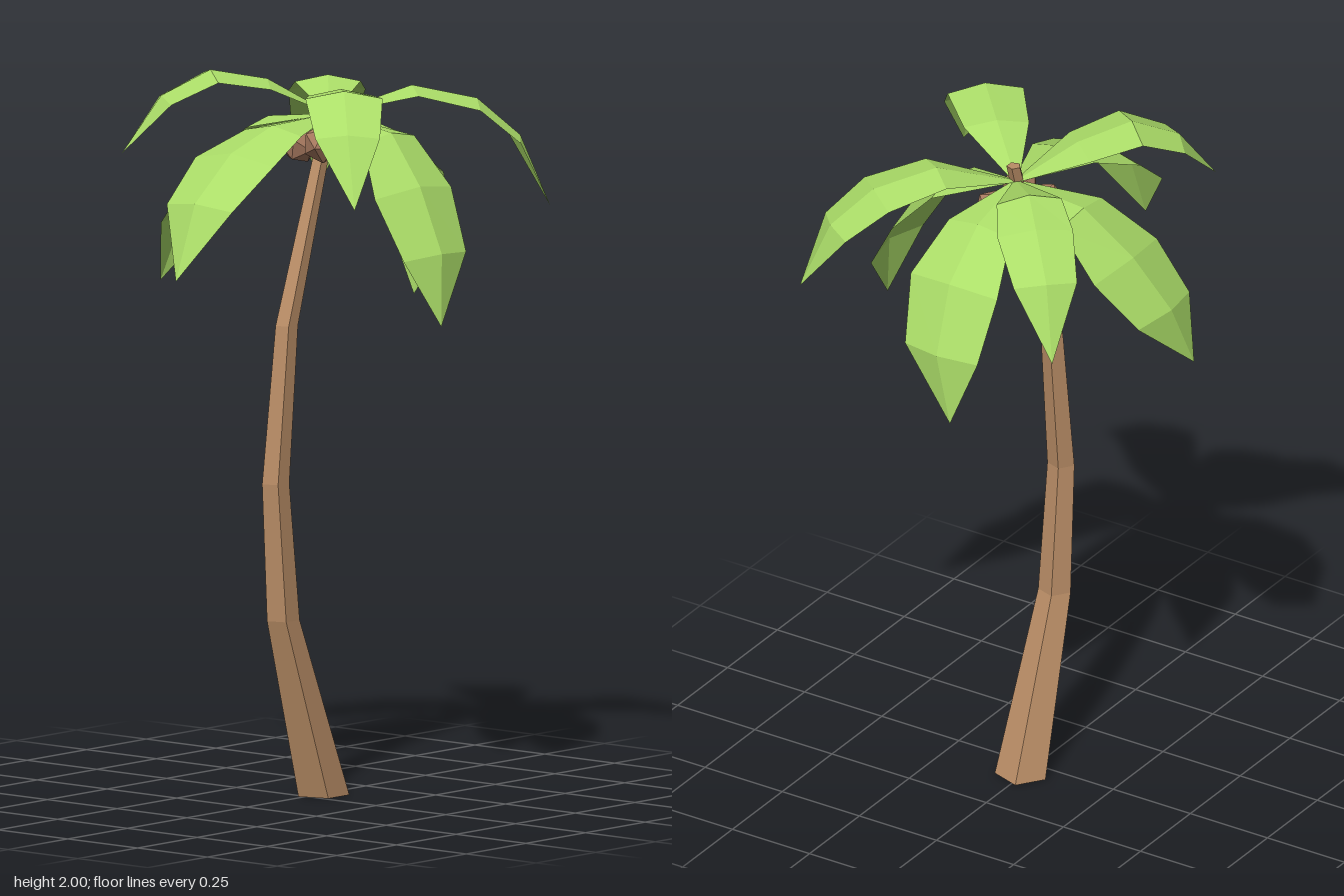
import * as THREE from 'three';

const mat = (name, color, side = THREE.FrontSide) => {
  const m = new THREE.MeshStandardMaterial({ color, side, flatShading: true });
  m.name = name;
  return m;
};

// Skin a row of cross-sections (equal point counts) into one flat-shaded geometry
function loft(sections, closed) {
  const n = sections[0].length;
  const pos = [];
  const tri = (...pts) => pts.forEach((p) => pos.push(p.x, p.y, p.z));
  for (let i = 0; i < sections.length - 1; i++) {
    for (let j = 0; j < (closed ? n : n - 1); j++) {
      const k = (j + 1) % n;
      const [a, b, c, d] = [sections[i][j], sections[i][k], sections[i + 1][k], sections[i + 1][j]];
      tri(a, d, b);
      tri(b, d, c);
    }
  }
  if (closed) {
    const first = sections[0], last = sections[sections.length - 1];
    for (let j = 1; j < n - 1; j++) {
      tri(first[0], first[j], first[j + 1]);
      tri(last[0], last[j + 1], last[j]);
    }
  }
  const g = new THREE.BufferGeometry();
  g.setAttribute('position', new THREE.Float32BufferAttribute(pos, 3));
  g.computeVertexNormals();
  return g;
}

const crown = new THREE.Vector3(0.1, 1.87, 0);

// Frond: a shallow roof-shaped blade along a drooping midrib, ending in a point.
// heading is the outward direction in degrees from +x towards +z.
function frondGeometry({ heading, widths, rib }) {
  const points = [crown, ...rib.map((p) => new THREE.Vector3(...p))];
  const a = THREE.MathUtils.degToRad(heading);
  const side = new THREE.Vector3(Math.sin(a), 0, -Math.cos(a));
  const halfWidths = [0.008, ...widths, 0];
  const sections = points.map((p, i) => {
    const w = halfWidths[i];
    const along = points[Math.min(i + 1, points.length - 1)].clone().sub(points[Math.max(i - 1, 0)]);
    along.addScaledVector(side, -along.dot(side)).normalize();
    const up = new THREE.Vector3().crossVectors(along, side).normalize();
    const edge = (s) => p.clone().addScaledVector(side, s * w).addScaledVector(up, -0.16 * w);
    return [edge(1), p.clone().addScaledVector(up, 0.05 * w), edge(-1)];
  });
  return loft(sections, false);
}

const broad = [0.1, 0.14, 0.117];
const broadest = [0.105, 0.157, 0.128];
const narrow = [0.09, 0.105, 0.088];

const fronds = {
  // Broad hanging fronds along the axes
  leftFrond: { heading: 0, widths: broad,
    rib: [[0.29, 1.82, 0], [0.43, 1.7, 0], [0.51, 1.52, -0.01], [0.51, 1.32, -0.05]] },
  rightFrond: { heading: 180, widths: broad,
    rib: [[-0.14, 1.86, 0], [-0.3, 1.8, -0.01], [-0.445, 1.68, -0.015], [-0.535, 1.48, -0.01]] },
  frontFrond: { heading: 91, widths: broadest,
    rib: [[0.12, 1.83, 0.2], [0.078, 1.7, 0.335], [0.05, 1.53, 0.437], [0.01, 1.34, 0.475]] },
  backFrond: { heading: 270, widths: broadest,
    rib: [[0.09, 1.84, -0.21], [0.055, 1.71, -0.345], [0.015, 1.56, -0.443], [-0.05, 1.38, -0.48]] },
  // Narrower arching fronds on the diagonals
  backRightFrond: { heading: 219, widths: narrow,
    rib: [[-0.025, 1.965, -0.12], [-0.155, 1.995, -0.21], [-0.265, 1.93, -0.29], [-0.37, 1.78, -0.345]] },
  frontRightFrond: { heading: 138, widths: narrow,
    rib: [[-0.015, 1.96, 0.137], [-0.14, 1.98, 0.255], [-0.23, 1.88, 0.345], [-0.295, 1.69, 0.425]] },
  frontLeftFrond: { heading: 39, widths: narrow,
    rib: [[0.268, 1.94, 0.15], [0.4, 1.9, 0.267], [0.477, 1.8, 0.355], [0.52, 1.61, 0.43]] },
  backLeftFrond: { heading: 316, widths: narrow,
    rib: [[0.26, 1.94, -0.145], [0.35, 1.9, -0.225], [0.44, 1.8, -0.317], [0.5, 1.6, -0.375]] },
};

export function createModel() {
  const group = new THREE.Group();
  const bark = mat('bark brown', 0xb98d66);
  const husk = mat('coconut brown', 0xa87a60);
  const leaf = mat('leaf green', 0xabdd68, THREE.DoubleSide);

  const add = (name, geometry, material) => {
    const mesh = new THREE.Mesh(geometry, material);
    mesh.name = name;
    group.add(mesh);
    return mesh;
  };

  // Trunk: bent, tapering five-sided column with a flat face forward [x, y, radius]
  const trunkRings = [
    [0.055, 0, 0.075], [-0.108, 0.5, 0.048], [-0.138, 0.88, 0.04],
    [-0.09, 1.31, 0.033], [0.108, 1.92, 0.02],
  ].map(([x, y, r]) => Array.from({ length: 5 }, (_, i) => {
    const a = (i * 2 * Math.PI) / 5 - Math.PI / 10;
    return new THREE.Vector3(x + r * Math.cos(a), y, r * (0.12 + Math.sin(a)));
  }));
  add('trunk', loft(trunkRings, true), bark);

  for (const [name, spec] of Object.entries(fronds)) add(name, frondGeometry(spec), leaf);

  // Coconuts clustered around the trunk under the fronds
  [[0.15, 1.8, -0.04], [0.03, 1.79, -0.05], [0.02, 1.8, 0.04], [0.15, 1.795, 0.04]]
    .forEach((p, i) => {
      const nut = add('coconut', new THREE.IcosahedronGeometry(0.055, 0), husk);
      nut.position.set(...p);
      nut.rotation.set(i * 0.9, i * 1.3, 0.4);
    });

  return group;
}
